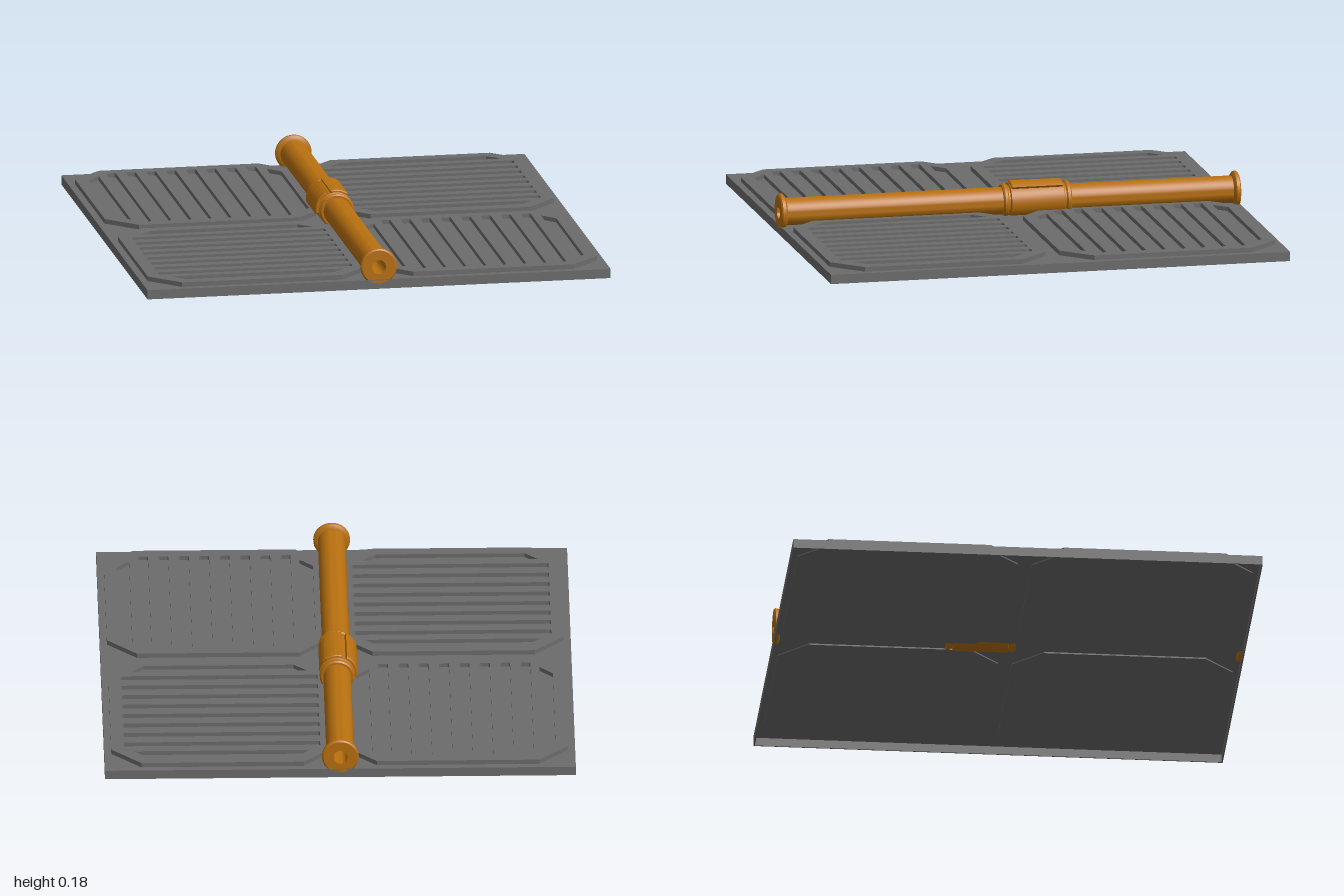
import * as THREE from 'three';
import { toCreasedNormals } from 'three/addons/utils/BufferGeometryUtils.js';

const v = (x, y) => new THREE.Vector2(x, y);

const add = (parent, name, geometry, material, x = 0, y = 0, z = 0) => {
  const mesh = new THREE.Mesh(geometry, material);
  mesh.name = name;
  mesh.position.set(x, y, z);
  parent.add(mesh);
  return mesh;
};

// Extrudes an outline upwards from y = 0
const slab = (shape, height) => new THREE.ExtrudeGeometry(shape, {
  depth: height, bevelEnabled: false, curveSegments: 3,
}).rotateX(-Math.PI / 2);

// Square with cut corners
function octagon() {
  const a = 0.47, b = 0.345;
  return new THREE.Shape([v(-b, -a), v(b, -a), v(a, -b), v(a, b), v(b, a), v(-b, a), v(-a, b), v(-a, -b)]);
}

// Rectangular groove with small rounded corners
function groove(y, halfLength, halfWidth) {
  const p = new THREE.Path(), r = 0.008;
  const x = halfLength - r, w = halfWidth - r;
  p.absarc(x, y + w, r, 0, Math.PI / 2);
  p.absarc(-x, y + w, r, Math.PI / 2, Math.PI);
  p.absarc(-x, y - w, r, Math.PI, Math.PI * 1.5);
  p.absarc(x, y - w, r, Math.PI * 1.5, Math.PI * 2);
  p.closePath();
  return p;
}

// Raised floor panel with eight grooves and two tapered end grooves
function groovedPanel() {
  const shape = octagon();
  for (let i = 0; i < 8; i++) shape.holes.push(groove((i - 3.5) * 0.0865, 0.418, 0.0215));
  for (const s of [-1, 1]) {
    shape.holes.push(new THREE.Path([
      v(-0.375, s * 0.362), v(0.375, s * 0.362), v(0.318, s * 0.417), v(-0.318, s * 0.417), v(-0.375, s * 0.362),
    ]));
  }
  return slab(shape, 0.018);
}

// Turned part lying along z, given by a closed radius / z profile
const turned = (points) => toCreasedNormals(
  new THREE.LatheGeometry(points.map(([r, z]) => v(r, z)), 40).rotateX(Math.PI / 2), 0.5);

// Curved pad wrapped around the sleeve
function pad(from, to, length) {
  const a = THREE.MathUtils.degToRad(from), b = THREE.MathUtils.degToRad(to);
  const shape = new THREE.Shape();
  shape.absarc(0, 0, 0.081, a, b, false);
  shape.absarc(0, 0, 0.066, b, a, true);
  shape.closePath();
  return toCreasedNormals(new THREE.ExtrudeGeometry(shape, {
    depth: length, curveSegments: 12, bevelThickness: 0.004, bevelSize: 0.004, bevelSegments: 1,
  }), 0.5);
}

export function createModel() {
  const model = new THREE.Group();
  model.name = 'floorWithPipe';
  const grey = new THREE.MeshStandardMaterial({ color: 0x6c6c6c });
  grey.name = 'floor grey';
  const orange = new THREE.MeshStandardMaterial({ color: 0xb8700f });
  orange.name = 'pipe orange';

  // Shallow tray, open underneath
  const floor = new THREE.Group();
  floor.name = 'floor';
  model.add(floor);
  add(floor, 'floorSheet', new THREE.BoxGeometry(2, 0.004, 2), grey, 0, 0.038, 0);
  for (const s of [-1, 1]) {
    add(floor, 'sideWall', new THREE.BoxGeometry(0.006, 0.036, 2), grey, s * 0.997, 0.018, 0);
    add(floor, 'endWall', new THREE.BoxGeometry(1.988, 0.036, 0.006), grey, 0, 0.018, s * 0.997);
  }

  // Four panels with grooves alternating in direction
  const panelGeometry = groovedPanel();
  const baseGeometry = slab(octagon(), 0.012);
  for (const sx of [-1, 1]) {
    for (const sz of [-1, 1]) {
      const panel = new THREE.Group();
      panel.name = 'panel';
      panel.position.set(sx * 0.5, 0, sz * 0.5);
      panel.rotation.y = sx === sz ? Math.PI / 2 : 0;
      if (sx === sz) panel.rotation.y = Math.PI / 2;
      floor.add(panel);
      add(panel, 'panelBase', baseGeometry, grey, 0, 0.03, 0);
      add(panel, 'groovedPanel', panelGeometry, grey, 0, 0.042, 0);
    }
  }

  // Hollow pipe with a flange at each end
  const pipe = new THREE.Group();
  pipe.name = 'pipeAssembly';
  pipe.position.y = 0.095;
  model.add(pipe);
  add(pipe, 'pipe', turned([
    [0.03, -1], [0.072, -1], [0.078, -0.995], [0.078, -0.982], [0.068, -0.974], [0.059, -0.972],
    [0.059, 0.972], [0.068, 0.974], [0.078, 0.982], [0.078, 0.995], [0.072, 1], [0.03, 1], [0.03, -1],
  ]), orange);

  // Coupling sleeve with a collar at each end
  add(pipe, 'sleeve', turned([
    [0.058, -0.265], [0.068, -0.265], [0.074, -0.259], [0.074, -0.248], [0.067, -0.242], [0.067, -0.236],
    [0.075, -0.232], [0.075, -0.002], [0.067, 0.002], [0.067, 0.008], [0.074, 0.014], [0.074, 0.025],
    [0.068, 0.031], [0.058, 0.031],
  ]), orange);

  // Raised pads on the top and one side of the sleeve
  add(pipe, 'topPad', pad(55, 103, 0.217), orange, 0, 0, -0.226);
  add(pipe, 'sidePad', pad(120, 190, 0.217), orange, -0.003, 0, -0.226);
  return model;
}
